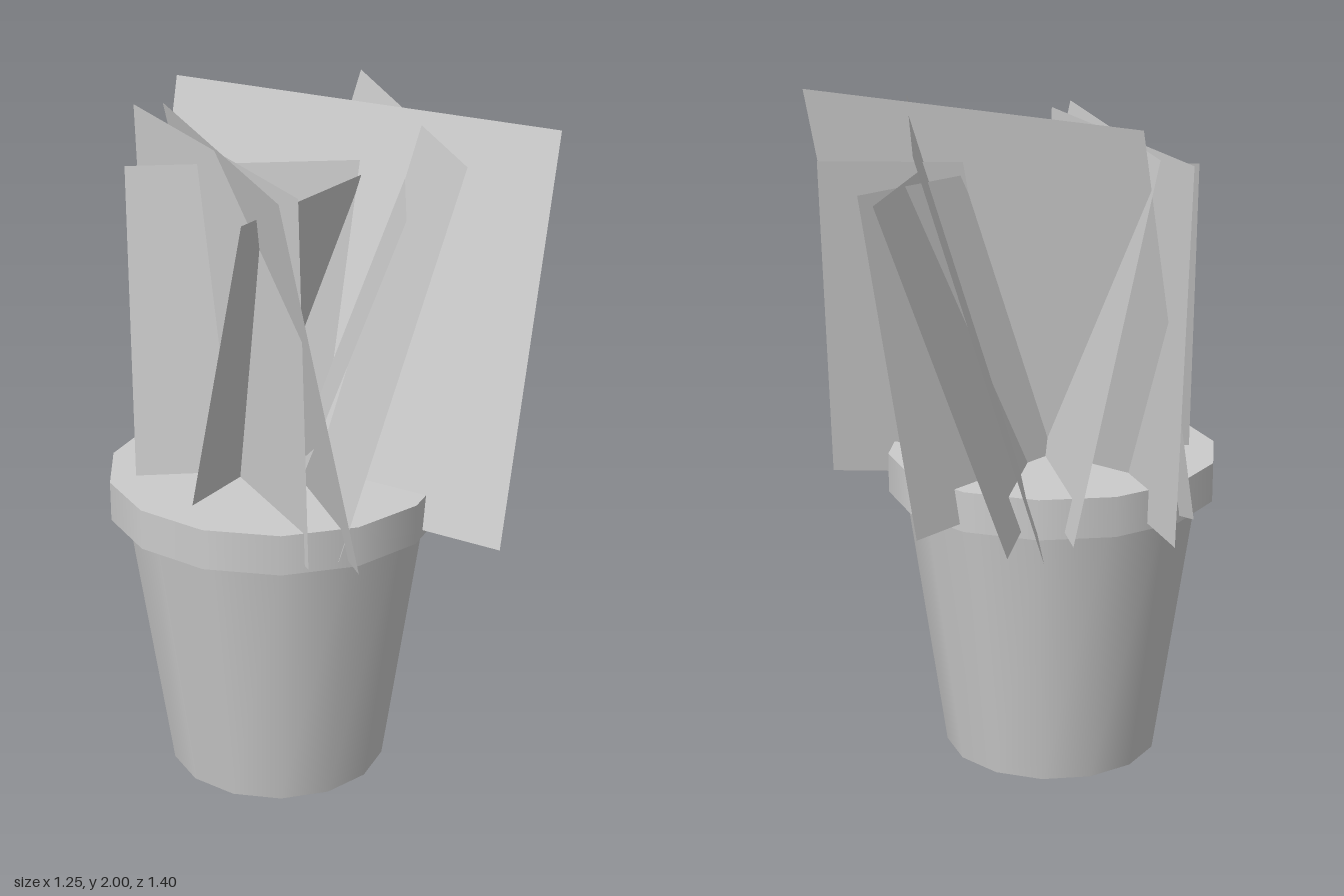
import * as THREE from 'three';

const BASE_Y = 0.85;

// Flat rectangular leaf: top edge a-b at height topY, foot edge shifted by (dx, dz).
function makeLeaf(material, { topY, a, b, foot: [dx, dz] }) {
  const geometry = new THREE.PlaneGeometry(1, 1);
  const pos = geometry.attributes.position;
  pos.setXYZ(0, a[0], topY, a[1]);
  pos.setXYZ(1, b[0], topY, b[1]);
  pos.setXYZ(2, a[0] + dx, BASE_Y, a[1] + dz);
  pos.setXYZ(3, b[0] + dx, BASE_Y, b[1] + dz);
  geometry.computeVertexNormals();
  return new THREE.Mesh(geometry, material);
}

export function createModel() {
  const model = new THREE.Group();
  const potMaterial = new THREE.MeshStandardMaterial({ color: 0xcccccc });
  const leafMaterial = new THREE.MeshStandardMaterial({ color: 0xcccccc, side: THREE.DoubleSide });

  // Fourteen-sided pot with a closed, overhanging rim
  const pot = new THREE.Group();
  pot.name = 'pot';
  pot.position.x = -0.13;
  pot.rotation.y = Math.PI / 2;
  const addRound = (name, top, bottom, y0, y1) => {
    const mesh = new THREE.Mesh(new THREE.CylinderGeometry(top, bottom, y1 - y0, 14), potMaterial);
    mesh.name = name;
    mesh.position.y = (y0 + y1) / 2;
    pot.add(mesh);
  };
  addRound('potBody', 0.45, 0.33, 0, 0.84);
  addRound('potRim', 0.5, 0.5, 0.83, 0.95);
  model.add(pot);

  // Crossing leaves; corners are [x, z]
  const leaves = new THREE.Group();
  leaves.name = 'leaves';
  const specs = [
    { topY: 2.0, a: [0.0, -0.61], b: [0.36, 0.63], foot: [-0.26, 0.075] },
    { topY: 1.96, a: [0.6, -0.44], b: [0.0, 0.63], foot: [-0.295, -0.165] },
    { topY: 1.92, a: [-0.51, 0.47], b: [-0.045, -0.625], foot: [0.207, 0.088] },
    { topY: 1.91, a: [-0.415, 0.435], b: [-0.1, -0.7], foot: [0.028, 0.008] },
    { topY: 1.84, a: [0.495, 0.29], b: [-0.4, -0.34], foot: [-0.103, 0.147] },
    { topY: 1.81, a: [0.625, -0.27], b: [-0.104, 0.513], foot: [-0.26, -0.244] },
    { topY: 1.8, a: [0.558, -0.063], b: [-0.446, 0.24], foot: [-0.06, -0.19] },
  ];
  specs.forEach((spec, i) => {
    const leaf = makeLeaf(leafMaterial, spec);
    leaf.name = `leaf${i + 1}`;
    leaves.add(leaf);
  });
  model.add(leaves);
  return model;
}
